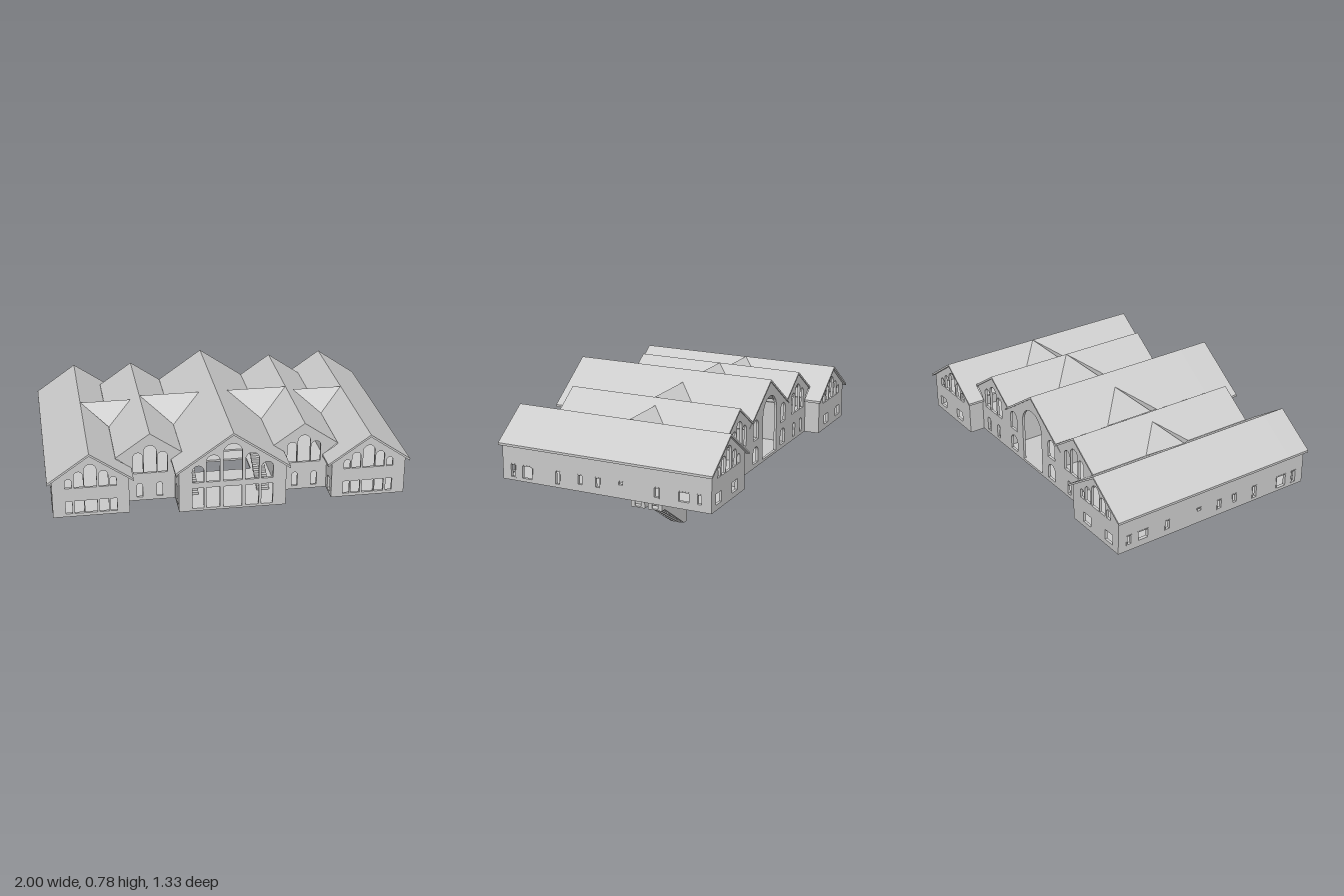
import * as THREE from 'three';

const grey = new THREE.MeshStandardMaterial({ color: 0xcccccc, flatShading: true });
const thin = new THREE.MeshStandardMaterial({ color: 0xcccccc, flatShading: true, side: THREE.DoubleSide });
const BASE = 0.32, T = 0.015;

const poly = pts => new THREE.Shape(pts.map(p => new THREE.Vector2(p[0], p[1])));
const rect = (x0, x1, y0, y1) => [[x0, y0], [x1, y0], [x1, y1], [x0, y1]];

// Opening outlines given by centre, half width, sill and top
function hole([c, hw, y0, y1, arched]) {
  const p = new THREE.Path();
  p.moveTo(c - hw, y0);
  p.lineTo(c + hw, y0);
  if (arched) {
    p.lineTo(c + hw, y1 - hw);
    p.absarc(c, y1 - hw, hw, 0, Math.PI, false);
  } else {
    p.lineTo(c + hw, y1);
    p.lineTo(c - hw, y1);
  }
  p.lineTo(c - hw, y0);
  return p;
}

export function createModel() {
  const root = new THREE.Group();
  root.name = 'hallBuilding';

  const add = (name, geo, parent = root) => {
    const m = new THREE.Mesh(geo, grey);
    m.name = name;
    parent.add(m);
    return m;
  };
  const extrude = (pts, depth, holes = []) => {
    const s = poly(pts);
    s.holes = holes.map(hole);
    return new THREE.ExtrudeGeometry(s, { depth, bevelEnabled: false, curveSegments: 8 });
  };
  // Wall facing z, from z to z + t
  const wallZ = (name, pts, z, holes = [], t = T, parent = root) =>
    add(name, extrude(pts, t, holes).translate(0, 0, z), parent);
  // Wall facing x, profile drawn in (z, y), centred on x
  const wallX = (name, pts, x, holes = [], t = T, parent = root) =>
    add(name, extrude(pts, t, holes).rotateY(-Math.PI / 2).translate(x + t / 2, 0, 0), parent);
  // Horizontal slab drawn in (x, z) with its top at y
  const slab = (name, pts, y, t, holes = []) =>
    add(name, extrude(pts, t, holes).rotateX(Math.PI / 2).translate(0, y, 0));
  const box = (name, w, h, d, x, y, z, parent) =>
    add(name, new THREE.BoxGeometry(w, h, d).translate(x, y, z), parent);

  // Gabled roof of even thickness: ridge at cx, eaves at x0 and x1
  const SLOPE = 0.695;
  function roof(name, cx, ridge, x0, x1, z0, z1) {
    const h = x => ridge - Math.abs(x - cx) * SLOPE, t = 0.013;
    wallZ(name, [[x0, h(x0)], [cx, ridge], [x1, h(x1)], [x1, h(x1) - t], [cx, ridge - t], [x0, h(x0) - t]], z0, [], z1 - z0);
  }

  // Central hall
  roof('centreRoof', 0, 0.78, -0.255, 0.255, -0.565, 0.475);
  roof('centreFrontRoof', 0, 0.78, -0.315, 0.315, 0.475, 0.66);
  const gable = [[-0.295, BASE], [0.295, BASE], [0.295, 0.565], [0, 0.77], [-0.295, 0.565]];
  const front = [[0, 0.052, 0.49, 0.71, true], [0, 0.05, 0.325, 0.457]];
  const back = [[0, 0.1, 0.335, 0.685, true]];
  for (const s of [-1, 1]) {
    front.push([s * 0.107, 0.037, 0.49, 0.65, true], [s * 0.19, 0.032, 0.49, 0.59, true],
      [s * 0.107, 0.037, 0.335, 0.457], [s * 0.19, 0.032, 0.335, 0.457]);
    back.push([s * 0.2, 0.035, 0.48, 0.595, true], [s * 0.2, 0.035, 0.345, 0.44, true]);
  }
  wallZ('centreFrontWall', gable, 0.625, front);
  wallZ('centreBackWall', gable, -0.56, back);

  for (const s of [-1, 1]) {
    const mx = pts => pts.map(([x, y]) => [s * x, y]);
    const mh = hs => hs.map(([x, ...r]) => [s * x, ...r]);
    const span = (a, b) => (s > 0 ? [a, b] : [-b, -a]);

    // Middle wing
    roof('middleRoof', s * 0.43, 0.723, ...span(0.255, 0.62), -0.565, 0.475);
    const midGable = mx([[0.295, BASE], [0.56, BASE], [0.56, 0.54], [0.615, 0.586], [0.43, 0.713], [0.26, 0.596], [0.295, 0.57]]);
    const midHoles = mh([[0.43, 0.035, 0.485, 0.65, true], [0.362, 0.027, 0.485, 0.61, true], [0.497, 0.027, 0.485, 0.61, true],
      [0.38, 0.016, 0.34, 0.425, true], [0.49, 0.016, 0.34, 0.425, true]]);
    wallZ('middleFrontWall', midGable, 0.455, midHoles);
    wallZ('middleBackWall', midGable, -0.56, midHoles);

    // Outer wing
    roof('outerRoof', s * 0.77, 0.69, ...span(0.62, 1), -0.565, 0.475);
    roof('outerFrontRoof', s * 0.77, 0.69, ...span(0.535, 1), 0.475, 0.61);
    roof('outerBackRoof', s * 0.77, 0.69, ...span(0.535, 1), -0.665, -0.565);
    const outGable = mx([[0.56, BASE], [0.975, BASE], [0.975, 0.537], [0.77, 0.68], [0.56, 0.534]]);
    const upper = [], lower = [];
    for (const [dx, hw, top] of [[-0.122, 0.018, 0.545], [-0.07, 0.025, 0.585], [0, 0.033, 0.625], [0.064, 0.025, 0.585], [0.12, 0.018, 0.545]]) {
      upper.push([s * (0.767 + dx), hw, 0.49, top, true]);
      lower.push([s * (0.767 + dx), hw, 0.338, 0.413]);
    }
    wallZ('outerFrontWall', outGable, 0.585, [...upper, ...lower]);
    wallZ('outerBackWall', outGable, -0.65, [...upper, ...mh([[0.69, 0.035, 0.35, 0.41], [0.89, 0.035, 0.35, 0.41]])]);

    // Long side wall with framed windows
    const windows = [[0.535, 0.017, 0.335, 0.415], [0.445, 0.035, 0.335, 0.415], [0.255, 0.017, 0.335, 0.415],
      [0.115, 0.017, 0.355, 0.415], [0.01, 0.017, 0.355, 0.415], [-0.128, 0.017, 0.39, 0.415],
      [-0.337, 0.017, 0.355, 0.415], [-0.495, 0.035, 0.355, 0.415], [-0.583, 0.017, 0.355, 0.415]];
    wallX('sideWall', rect(-0.65, 0.6, BASE, 0.537), s * 0.9675, windows);
    for (const [c, hw, y0, y1] of windows)
      wallX('windowFrame', rect(c - hw, c + hw, y0, y1), s * 0.9675, [[c, hw - 0.005, y0 + 0.005, y1 - 0.005]], 0.019);

    // Walls between the wings
    wallX('innerWall', rect(-0.65, 0.6, BASE, 0.53), s * 0.5675, [[0.535, 0.025, 0.335, 0.415], [0, 0.05, 0.335, 0.42]]);
    wallX('hallWall', rect(-0.56, 0.64, BASE, 0.562), s * 0.2875,
      [[0.545, 0.035, 0.335, 0.435], [0.545, 0.025, 0.485, 0.54, true], [0, 0.05, 0.335, 0.42]]);

    // Upper floor
    slab('outerUpperFloor', mx(rect(0.57, 0.965, -0.64, 0.59)), 0.475, 0.01);
    slab('middleUpperFloor', mx(rect(0.3, 0.56, -0.55, 0.46)), 0.475, 0.01);

    // Cross-gabled valley skylights: ridge ends, valley ends
    for (const [a, b, y, v, vy, z, r] of [[0.48, 0.768, 0.691, 0.62, 0.591, -0.077, 0.143], [0.082, 0.428, 0.724, 0.255, 0.605, -0.05, 0.17]]) {
      const l = s > 0 ? a : -b, q = s > 0 ? b : -a, x = s * v;
      const g = new THREE.BufferGeometry();
      g.setAttribute('position', new THREE.Float32BufferAttribute([
        l, y, z, x, vy, z + r, q, y, z,
        q, y, z, x, vy, z - r, l, y, z], 3));
      g.computeVertexNormals();
      add('valleySkylight', g).material = thin;
    }

    // Indoor steps beside the hall windows
    for (let i = 0; i < 10; i++)
      box('indoorStep', 0.07, 0.014, 0.03, s * 0.2, 0.338 + i * 0.0145, 0.46 - i * 0.025);
  }
  slab('hallUpperFloor', rect(-0.28, 0.28, 0.02, 0.23), 0.475, 0.01);

  // Ground floor with stairwell openings
  const half = [[0.295, 0.64], [0.295, 0.47], [0.56, 0.47], [0.56, 0.6], [0.975, 0.6], [0.975, -0.65], [0.56, -0.65], [0.56, -0.56]];
  slab('groundFloor', [...half, ...half.map(([x, z]) => [-x, z]).reverse()], 0.332, 0.012,
    [[0.5, 0.1, -0.11, -0.025], [-0.5, 0.1, -0.11, -0.025], [0, 0.18, 0.06, 0.2]]);

  // Enclosed stair flights below the floor
  function flight(name, z, side, xs, ys, xe, ye, n) {
    const g = new THREE.Group();
    g.name = name;
    root.add(g);
    const w = 0.085, t = 0.007;
    wallZ('stairSide', side, z - w / 2, [], t, g);
    wallZ('stairSide', side, z + w / 2 - t, [], t, g);
    for (let i = 0; i < n; i++) {
      const f = (i + 0.5) / n;
      box('stairStep', Math.abs(xe - xs) / n + 0.004, Math.abs(ye - ys) / n + 0.003, w - 2 * t,
        xs + (xe - xs) * f, ys + (ye - ys) * f + 0.004, z, g);
    }
    box('stairLanding', 0.04, 0.008, w, 0.655, 0.164, z, g);
    wallX('landingWall', rect(z - w / 2, z + w / 2, 0.16, 0.3), 0.6715, [[z, 0.018, 0.166, 0.232]], t, g);
    return g;
  }
  flight('upperFlight', -0.0675, [[0.4, 0.322], [0.64, 0.16], [0.675, 0.16], [0.675, 0.3], [0.625, 0.3], [0.595, 0.322]],
    0.4, 0.318, 0.64, 0.164, 12);
  const low = flight('lowerFlight', -0.1725,
    [[0.365, 0], [0.4, 0], [0.64, 0.16], [0.675, 0.16], [0.675, 0.3], [0.64, 0.3], [0.41, 0.14], [0.365, 0.14]],
    0.4, 0.002, 0.64, 0.16, 14);
  box('stairFoot', 0.035, 0.008, 0.085, 0.383, 0.004, -0.1725, low);
  wallX('footWall', rect(-0.215, -0.13, 0, 0.14), 0.3685, [[-0.1725, 0.02, 0.008, 0.08]], 0.007, low);
  wallZ('stairCover', [[0.365, 0.14], [0.41, 0.14], [0.64, 0.3], [0.675, 0.3], [0.675, 0.293], [0.642, 0.293], [0.412, 0.133], [0.365, 0.133]],
    -0.215, [], 0.085, low);

  return root;
}
